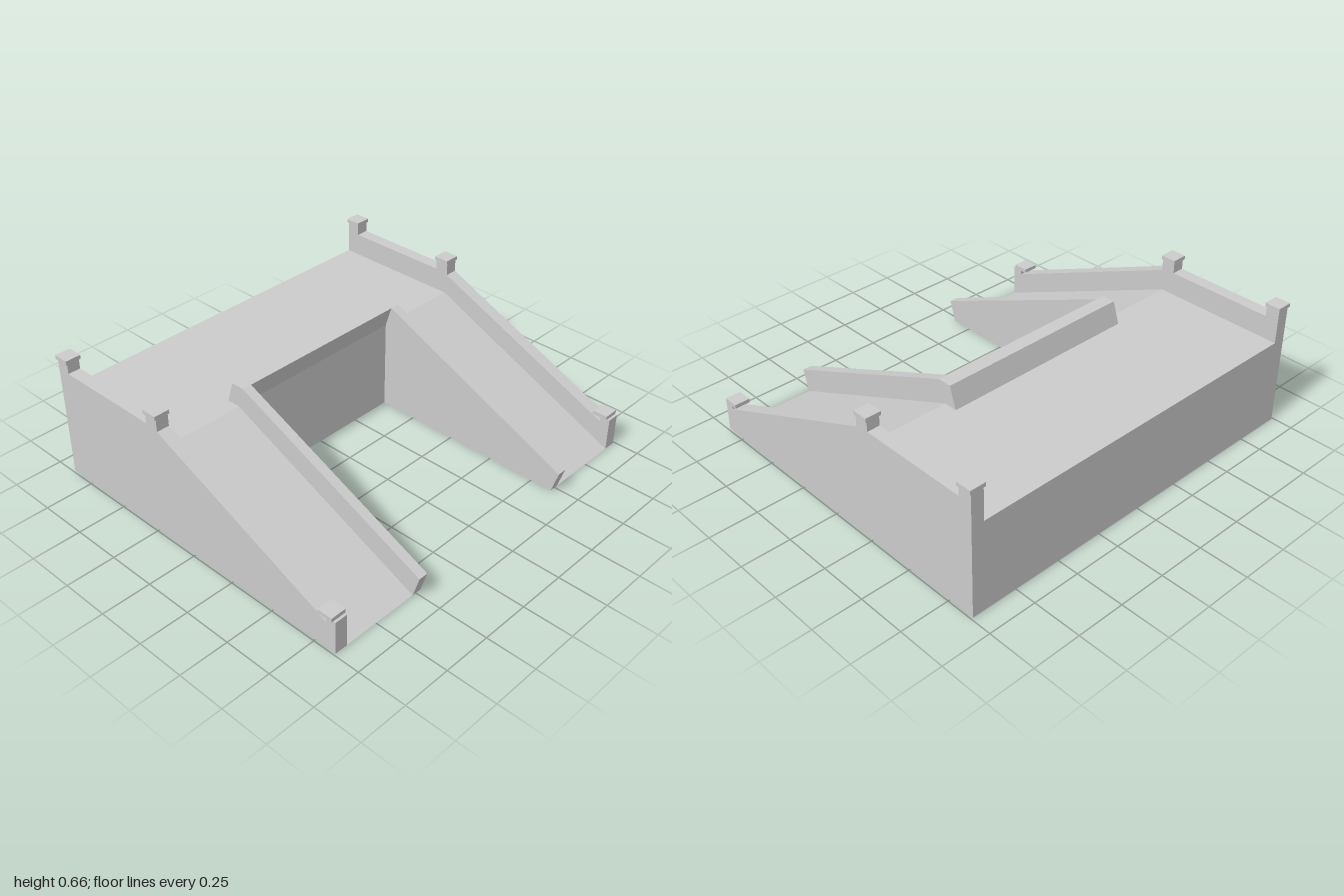
import * as THREE from 'three';

const material = new THREE.MeshStandardMaterial({ color: 0xcccccc, flatShading: true });

// Extrudes a side profile of [z, y] points from x0 to x1.
function slab(name, profile, x0, x1) {
  const shape = new THREE.Shape(profile.map(([z, y]) => new THREE.Vector2(z, y)));
  const geometry = new THREE.ExtrudeGeometry(shape, { depth: x1 - x0, bevelEnabled: false });
  geometry.rotateY(-Math.PI / 2).translate(x1, 0, 0);
  const mesh = new THREE.Mesh(geometry, material);
  mesh.name = name;
  return mesh;
}

export function createModel() {
  const group = new THREE.Group();
  group.name = 'doubleRampPlatform';

  const back = -0.89, edge = -0.2, front = 0.865, deck = 0.47;
  const inner = 0.47, rampIn = 0.52, rampOut = 0.925, outer = 0.99;

  // Raised deck across the back
  group.add(slab('platform', [[back, 0], [edge, 0], [edge, deck], [back, deck]], -rampOut, rampOut));

  // Leaning parapet above the recess
  group.add(slab('parapet',
    [[-0.27, deck], [edge, deck], [-0.165, 0.58], [-0.235, 0.58]], -rampIn, rampIn));

  // Outer wall with its three posts in one outline
  const wallProfile = [
    [back, 0], [front, 0], [front, 0.17], [0.813, 0.17], [0.813, 0.142],
    [-0.19, 0.577], [-0.19, 0.64], [-0.262, 0.64], [-0.262, 0.588],
    [-0.82, 0.588], [-0.82, 0.64], [back, 0.64],
  ];
  const innerProfile = [[edge, 0], [front, 0], [0.9, 0.113], [-0.165, 0.58], [edge, deck]];
  const rampProfile = [[edge, 0], [front, 0], [edge, deck]];
  // Cap centres: [z, underside y]
  const caps = [[-0.855, 0.64], [-0.227, 0.64], [0.812, 0.17]];

  for (const side of [-1, 1]) {
    const name = side > 0 ? 'left' : 'right';
    const add = (part, profile, a, b) =>
      group.add(slab(name + part, profile, Math.min(side * a, side * b), Math.max(side * a, side * b)));
    add('Ramp', rampProfile, rampIn, rampOut);
    add('InnerWall', innerProfile, inner, rampIn);
    add('OuterWall', wallProfile, rampOut, outer);

    // Post caps
    for (const [z, y] of caps) {
      const cap = new THREE.Mesh(new THREE.BoxGeometry(0.08, 0.02, 0.08), material);
      cap.position.set(side * 0.958, y + 0.01, z);
      cap.name = name + 'PostCap';
      group.add(cap);
    }
  }
  return group;
}
